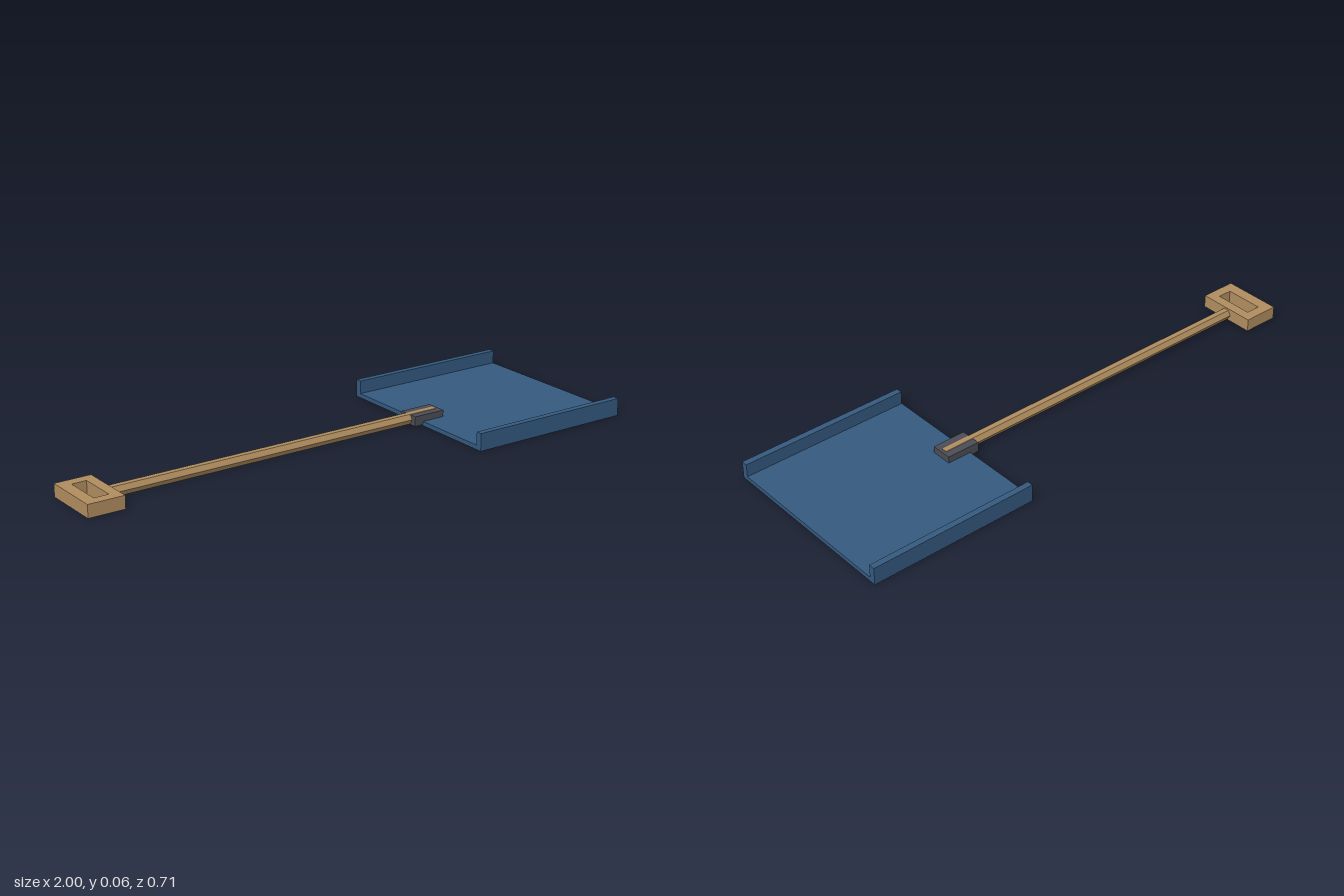
import * as THREE from 'three';

export function createModel() {
  const group = new THREE.Group();
  group.name = 'snowShovel';

  const material = (name, color) => {
    const m = new THREE.MeshStandardMaterial({ color });
    m.name = name;
    return m;
  };
  const blue = material('blue blade', 0x34597f);
  const wood = material('wood', 0xb08d5f);
  const iron = material('dark socket', 0x4b4d55);

  const add = (name, geometry, mat) => {
    const mesh = new THREE.Mesh(geometry, mat);
    mesh.name = name;
    group.add(mesh);
    return mesh;
  };
  const extrude = (shape, depth) =>
    new THREE.ExtrudeGeometry(shape, { depth, bevelEnabled: false });
  const shapeOf = (points) =>
    new THREE.Shape(points.map(([x, y]) => new THREE.Vector2(x, y)));

  // Blade: a U-shaped tray section swept along x
  const w = 0.355, inner = 0.332, floor = 0.016, lip = 0.064;
  const tray = shapeOf([
    [-w, 0], [w, 0], [w, lip], [inner, lip],
    [inner, floor], [-inner, floor], [-inner, lip], [-w, lip],
  ]);
  const bladeGeometry = extrude(tray, 0.63);
  bladeGeometry.rotateY(Math.PI / 2);
  add('blade', bladeGeometry, blue).position.x = 0.37;

  // Socket joining shaft and blade
  add('socket', new THREE.BoxGeometry(0.125, 0.036, 0.078), iron)
    .position.set(0.3975, 0.022, 0);

  // Six-sided shaft with a flat top
  const shaftRadius = 0.0208;
  const hex = shapeOf(Array.from({ length: 6 }, (_, i) => [
    shaftRadius * Math.cos(i * Math.PI / 3),
    shaftRadius * Math.sin(i * Math.PI / 3),
  ]));
  const shaftGeometry = extrude(hex, 1.316);
  shaftGeometry.rotateY(Math.PI / 2);
  add('shaft', shaftGeometry, wood).position.set(-0.868, 0.0235, 0);

  // Rectangular grip with an opening for the hand
  const grip = shapeOf([[-1, -0.11], [-0.866, -0.11], [-0.866, 0.11], [-1, 0.11]]);
  grip.holes.push(shapeOf([[-0.957, -0.072], [-0.957, 0.072], [-0.903, 0.072], [-0.903, -0.072]]));
  const gripGeometry = extrude(grip, 0.047);
  gripGeometry.rotateX(-Math.PI / 2);
  add('grip', gripGeometry, wood).position.y = 0.001;

  return group;
}
